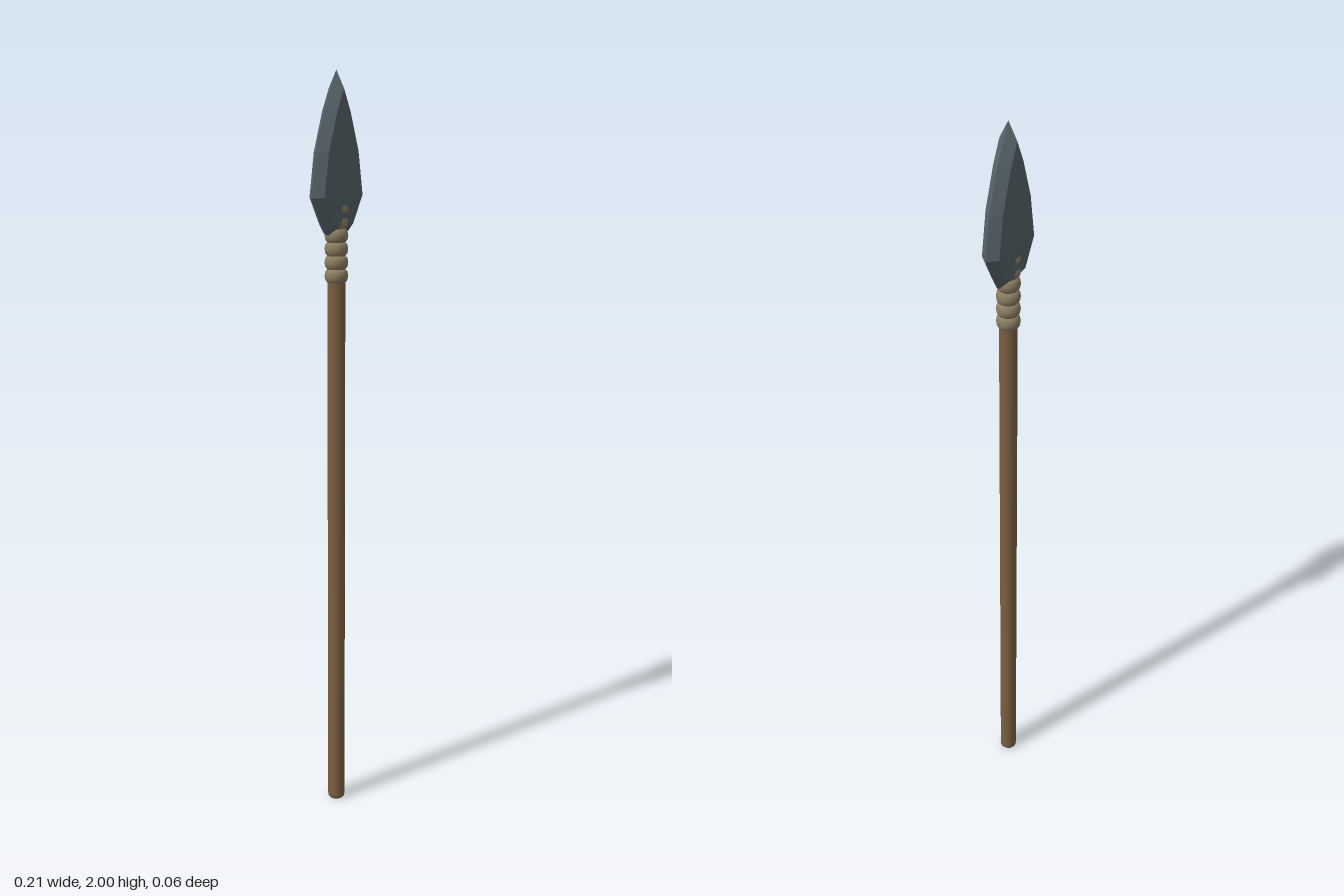
import * as THREE from 'three';

const wood = new THREE.MeshStandardMaterial({ color: 0x7a5f40 });
const cord = new THREE.MeshStandardMaterial({ color: 0x8c7d62 });
const stone = new THREE.MeshStandardMaterial({ color: 0x56636a, flatShading: true });

function add(parent, name, geometry, material) {
  const mesh = new THREE.Mesh(geometry, material);
  mesh.name = name;
  parent.add(mesh);
  return mesh;
}

// Leaf-shaped blade: eight-sided cross-sections with bevelled edges and a soft central ridge
function bladeGeometry() {
  // [edge y, edge half-width, face y, face half-width, face z, ridge z]
  const levels = [
    [1.6, 0.053, 1.593, 0.04, 0, 0],
    [1.6, 0.053, 1.62, 0.042, 0.023, 0.029],
    [1.69, 0.103, 1.69, 0.08, 0.024, 0.0295],
    [1.8, 0.085, 1.8, 0.062, 0.024, 0.0295],
    [1.91, 0.046, 1.9, 0.027, 0.024, 0.028],
    [2, 0, 1.955, 0, 0.024, 0.024],
    [2, 0, 2, 0, 0, 0],
  ];
  const rings = levels.map(([ye, xe, yf, xf, zf, zr]) => [
    [xe, ye, 0], [xf, yf, zf], [0, yf, zr], [-xf, yf, zf],
    [-xe, ye, 0], [-xf, yf, -zf], [0, yf, -zr], [xf, yf, -zf],
  ].map((p) => new THREE.Vector3(...p)));
  const points = [];
  const face = (a, b, c) => {
    if (new THREE.Triangle(a, b, c).getArea() > 1e-8) points.push(a, b, c);
  };
  for (let i = 0; i < rings.length - 1; i++) {
    for (let k = 0; k < 8; k++) {
      const n = (k + 1) % 8;
      const [a, b, c, d] = [rings[i][k], rings[i][n], rings[i + 1][n], rings[i + 1][k]];
      // Mirror the diagonals so both halves match
      if (k % 4 < 2) { face(a, d, c); face(a, c, b); }
      else { face(a, d, b); face(b, d, c); }
    }
  }
  const geometry = new THREE.BufferGeometry().setFromPoints(points);
  geometry.computeVertexNormals();
  return geometry;
}

export function createModel() {
  const spear = new THREE.Group();
  spear.name = 'spear';

  // Shaft with a slightly rounded butt
  const profile = [[0, 0], [0.019, 0], [0.0225, 0.004], [0.0235, 0.012], [0.0235, 1.63], [0, 1.63]]
    .map(([r, y]) => new THREE.Vector2(r, y));
  add(spear, 'shaft', new THREE.LatheGeometry(profile, 16), wood);

  add(spear, 'blade', bladeGeometry(), stone);

  // Cord binding: stacked coils, the upper ones sunk into the blade
  const binding = new THREE.Group();
  binding.name = 'binding';
  spear.add(binding);
  for (let i = 0; i < 6; i++) {
    const coil = add(binding, 'coil', new THREE.TorusGeometry(0.0205, 0.0103, 10, 24), cord);
    coil.rotation.x = Math.PI / 2;
    coil.scale.z = 1.75;
    coil.position.y = 1.487 + i * 0.0345;
  }
  return spear;
}
